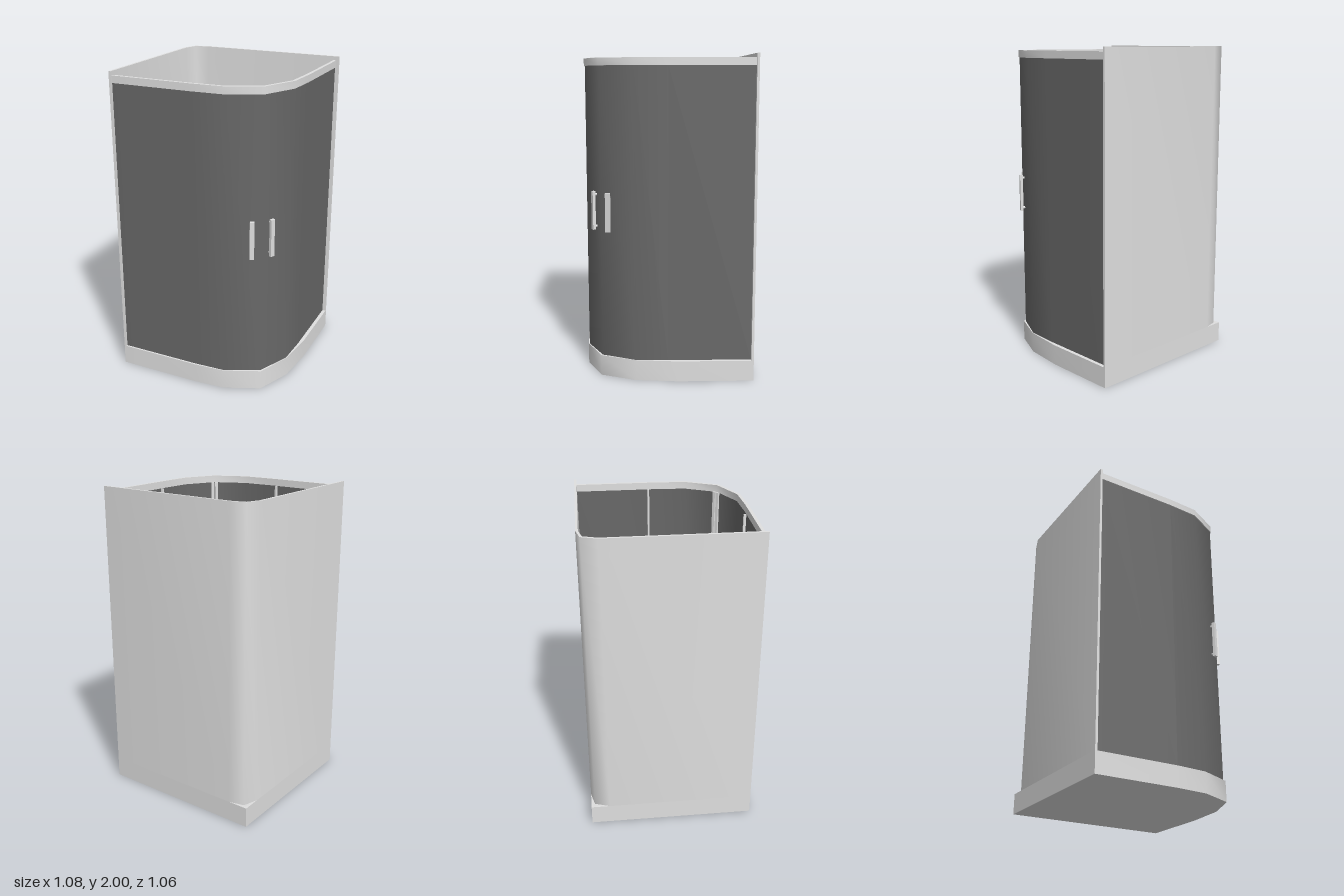
import * as THREE from 'three';
import { toCreasedNormals } from 'three/addons/utils/BufferGeometryUtils.js';

const mat = (name, color) => {
  const m = new THREE.MeshStandardMaterial({ color });
  m.name = name;
  return m;
};

// Upright prism from an [x, z] outline, with an optional hole
function prism(pts, y0, y1, hole) {
  const v = (list) => list.map(([x, z]) => new THREE.Vector2(x, -z));
  const shape = new THREE.Shape(v(pts));
  if (hole) shape.holes.push(new THREE.Path(v(hole)));
  const g = new THREE.ExtrudeGeometry(shape, { depth: y1 - y0, bevelEnabled: false });
  g.rotateX(-Math.PI / 2).translate(0, y0, 0);
  return toCreasedNormals(g, 1.1);
}

// Open path moved sideways by d, with mitred corners
function offset(path, d) {
  const dir = (a, b) => new THREE.Vector2(b[0] - a[0], b[1] - a[1]).normalize();
  return path.map((p, i) => {
    const a = dir(path[Math.max(i - 1, 0)], path[Math.max(i, 1)]);
    const last = path.length - 1;
    const b = dir(path[Math.min(i, last - 1)], path[Math.min(i + 1, last)]);
    const t = a.clone().add(b).normalize();
    const k = d / t.dot(a);
    return [p[0] + t.y * k, p[1] - t.x * k];
  });
}

const strip = (path, d0, d1, y0, y1) =>
  prism([...offset(path, d0), ...offset(path, d1).reverse()], y0, y1);

// Closed loft through rings of { y, pts }, capped at both ends
function loft(rings) {
  const n = rings[0].pts.length;
  const pos = rings.flatMap((r) => r.pts.flatMap(([x, z]) => [x, r.y, z]));
  const idx = [];
  for (let r = 0; r < rings.length - 1; r++) {
    for (let i = 0; i < n; i++) {
      const a = r * n + i, b = r * n + (i + 1) % n;
      idx.push(a, b + n, b, a, a + n, b + n);
    }
  }
  const top = (rings.length - 1) * n;
  for (let i = 1; i < n - 1; i++) {
    idx.push(0, i, i + 1, top, top + i + 1, top + i);
  }
  const g = new THREE.BufferGeometry();
  g.setAttribute('position', new THREE.Float32BufferAttribute(pos, 3));
  g.setIndex(idx);
  return toCreasedNormals(g, 0.8);
}

export function createModel() {
  const model = new THREE.Group();
  model.name = 'showerCabin';
  const white = mat('white', 0xe0e0e0);
  const glass = mat('smokedGlass', 0x686868);
  const dark = mat('drainGrey', 0x666666);
  const red = mat('red', 0xc25c56);

  const add = (name, geometry, material, parent = model) => {
    const m = new THREE.Mesh(geometry, material);
    m.name = name;
    parent.add(m);
    return m;
  };
  const box = (name, w, h, d, x, y, z, turn = 0) => {
    const m = add(name, new THREE.BoxGeometry(w, h, d), white);
    m.position.set(x, y, z);
    m.rotation.y = turn;
    return m;
  };
  const rod = (name, a, b, r0, r1, sides = 8) => {
    const from = new THREE.Vector3(...a), to = new THREE.Vector3(...b);
    const m = add(name, new THREE.CylinderGeometry(r1, r0, from.distanceTo(to), sides), white);
    m.position.copy(from).add(to).multiplyScalar(0.5);
    m.quaternion.setFromUnitVectors(new THREE.Vector3(0, 1, 0), to.sub(from).normalize());
    return m;
  };

  // Tray with a sunken basin
  const outer = [[-0.54, -0.53], [-0.54, -0.53], [0.54, -0.53], [0.54, -0.53], [0.54, -0.06], [0.513, 0.2],
    [0.42, 0.42], [0.2, 0.515], [0, 0.53], [-0.54, 0.53], [-0.54, 0.53]];
  const rim = [[-0.48, -0.465], [-0.47, -0.475], [0.47, -0.475], [0.48, -0.465], [0.48, 0], [0.43, 0.25],
    [0.36, 0.36], [0.19, 0.45], [0, 0.47], [-0.47, 0.47], [-0.48, 0.46]];
  const floor = [[-0.43, -0.35], [-0.36, -0.42], [0.36, -0.42], [0.43, -0.35], [0.42, 0.05], [0.35, 0.27],
    [0.29, 0.35], [0.13, 0.4], [0, 0.42], [-0.36, 0.42], [-0.43, 0.34]];
  add('tray', loft([{ y: 0, pts: outer }, { y: 0.13, pts: outer }, { y: 0.13, pts: rim }, { y: 0.05, pts: floor }]), white);

  // Drain ring and its opening
  const ring = [[0.07, 0], [0.055, 0.014], [0.025, 0.008], [0.025, 0]].map(([r, y]) => new THREE.Vector2(r, y));
  add('drainRing', new THREE.LatheGeometry(ring.reverse(), 6), white).position.set(-0.235, 0.05, -0.2);
  const hole = add('drainHole', new THREE.CylinderGeometry(0.026, 0.026, 0.006, 6), dark);
  hole.position.set(-0.235, 0.055, -0.2);

  // Two walls joined by a rounded corner
  add('walls', prism([[-0.54, 0.53], [-0.54, -0.41], [-0.507, -0.507], [-0.41, -0.53], [0.54, -0.53],
    [0.54, -0.515], [-0.41, -0.515], [-0.496, -0.494], [-0.525, -0.41], [-0.525, 0.53]], 0.13, 2), white);

  // Curved glass enclosure with its top rail
  const path = [[-0.525, 0.505], [0, 0.505], [0.2, 0.495], [0.4, 0.4], [0.493, 0.2], [0.503, 0], [0.503, -0.515]];
  add('glassPanels', strip(path, -0.006, -0.014, 0.13, 1.93), glass);
  add('topRail', strip(path, 0, -0.02, 1.93, 1.975), white);

  // Upright profiles between the panels
  const h = 1.8, midY = 1.03;
  box('frontProfile', 0.012, h, 0.016, -0.05, midY, 0.496);
  box('sideProfile', 0.016, h, 0.012, 0.494, midY, -0.045);
  for (const s of [-1, 1]) {
    box('doorEdge', 0.019, h, 0.02, 0.396 + s * 0.009, midY, 0.396 - s * 0.009, Math.PI / 4);
  }

  // Door handles, one each side of the door gap
  for (const [x, z, turn] of [[0.364, 0.458, 0.44], [0.455, 0.366, 1.13]]) {
    const handle = new THREE.Group();
    handle.name = 'doorHandle';
    handle.position.set(x, 1.05, z);
    handle.rotation.y = turn;
    add('grip', new THREE.BoxGeometry(0.028, 0.24, 0.018), white, handle);
    for (const y of [-0.1, 0.1]) {
      const post = add('handlePost', new THREE.CylinderGeometry(0.008, 0.008, 0.05, 8), white, handle);
      post.rotation.x = Math.PI / 2;
      post.position.set(0, y, -0.025);
    }
    model.add(handle);
  }

  // Corner shelves with bottles
  const edge = [[-0.525, -0.33], [-0.48, -0.33], [-0.32, -0.47], [-0.31, -0.515], [-0.41, -0.515], [-0.496, -0.494], [-0.525, -0.41]];
  const inner = [[-0.515, -0.352], [-0.485, -0.352], [-0.345, -0.475], [-0.34, -0.505], [-0.41, -0.505], [-0.489, -0.487], [-0.515, -0.41]];
  for (const [y, k] of [[1.43, 1], [1.03, 0.7]]) {
    add('shelfBase', prism(edge, y, y + 0.015), white);
    add('shelfRim', prism(edge, y + 0.015, y + 0.07, inner), white);
    for (const [x, z, tall, m, turn] of [[-0.484, -0.403, 0.2, red, 0], [-0.474, -0.468, 0.23, white, 0.52], [-0.407, -0.47, 0.16, white, 0.52]]) {
      const bottle = add('bottle', new THREE.CylinderGeometry(0.03, 0.03, tall * k, 6), m);
      bottle.position.set(x, y + 0.015 + tall * k / 2, z);
      bottle.rotation.y = turn;
    }
  }

  // Mixer tap on the side wall
  rod('mixerPlate', [-0.525, 1.1, -0.1], [-0.495, 1.1, -0.1], 0.08, 0.072, 12);
  rod('mixerKnob', [-0.495, 1.1, -0.105], [-0.455, 1.1, -0.105], 0.036, 0.036);
  rod('mixerTip', [-0.455, 1.1, -0.105], [-0.437, 1.1, -0.105], 0.036, 0.012);

  // Slide bar, hand shower, hose and wall outlet
  rod('slideBar', [-0.485, 1.05, 0.09], [-0.485, 1.85, 0.09], 0.013, 0.013);
  for (const y of [1.05, 1.84]) box('barBracket', 0.075, 0.045, 0.042, -0.488, y, 0.09);
  box('showerHolder', 0.045, 0.04, 0.11, -0.485, 1.66, 0.068);
  rod('showerGrip', [-0.488, 1.64, 0.03], [-0.34, 1.73, 0.035], 0.018, 0.03);
  const head = add('showerHead', new THREE.SphereGeometry(0.064, 6, 6), white);
  head.scale.y = 0.45;
  head.position.set(-0.318, 1.735, 0.035);
  head.rotation.z = -0.15;
  const hose = new THREE.CatmullRomCurve3([[-0.488, 1.64, 0.035], [-0.47, 1.45, 0.09], [-0.462, 1.05, 0.13],
    [-0.455, 0.8, 0.19], [-0.45, 0.82, 0.235], [-0.45, 0.98, 0.25]].map((p) => new THREE.Vector3(...p)));
  add('hose', new THREE.TubeGeometry(hose, 30, 0.009, 6), white);
  box('outletPlate', 0.03, 0.075, 0.075, -0.51, 1, 0.25);
  box('outletBody', 0.075, 0.042, 0.042, -0.457, 1, 0.25);

  return model;
}
